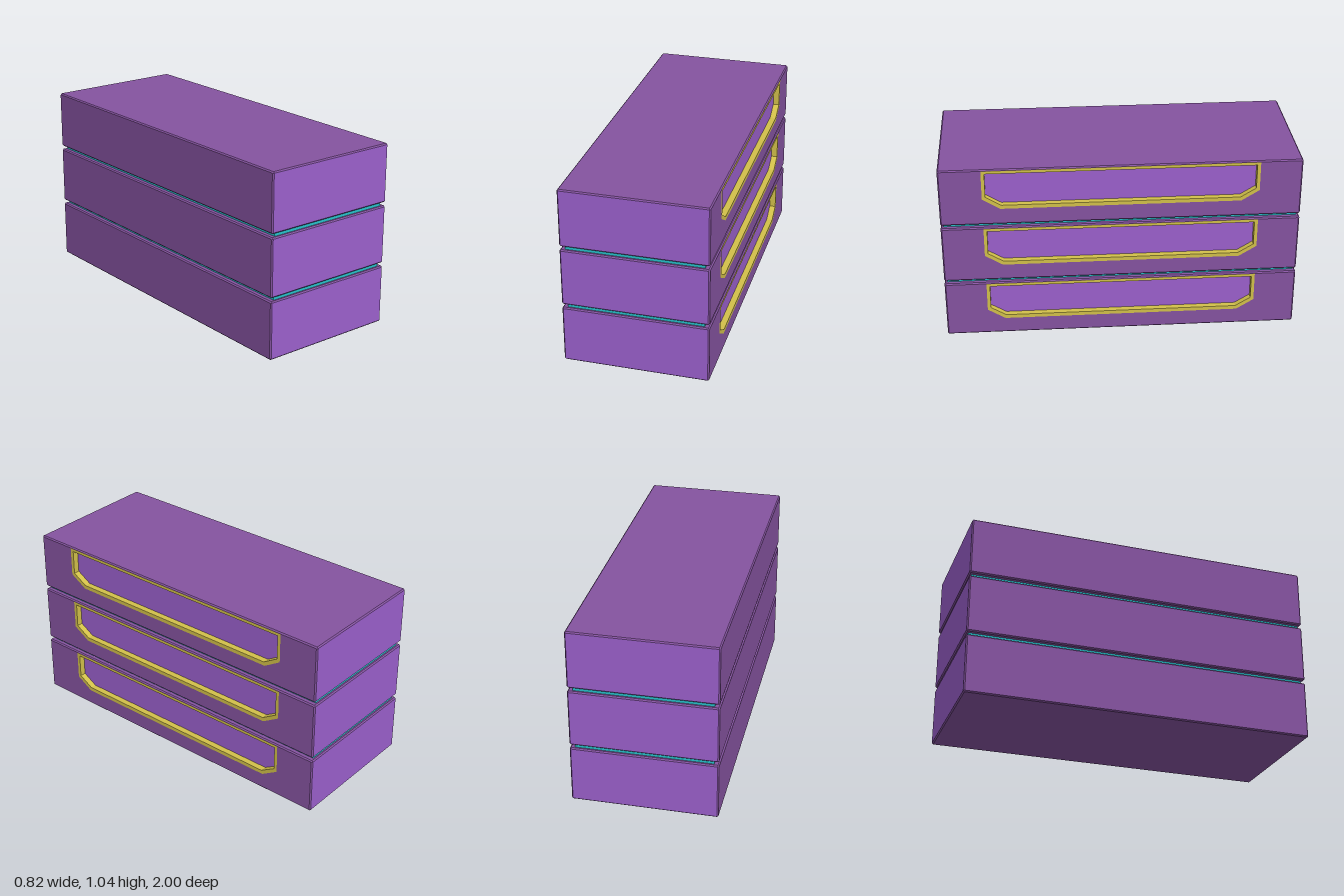
import * as THREE from 'three';

const PITCH = 0.355, H = 0.335, HX = 0.408, C = 0.007, DEPTH = 0.035;

const mat = (color) => new THREE.MeshStandardMaterial({ color, flatShading: true });
const bodyMat = mat(0x8553a0), panelMat = mat(0x9b60cc), frameMat = mat(0xd2c04a), spacerMat = mat(0x28c2cc);

// Shapes are drawn in the side plane and turned to face +x
const toSide = (geo, x) => geo.rotateY(Math.PI / 2).translate(x, 0, 0);
const points = (list) => list.map(([x, y]) => new THREE.Vector2(x, y));

// Symmetric tray outline with sloping lower corners
const tray = (halfW, top, slopeY, slopeW, bottom) => points([
  [-slopeW, bottom], [slopeW, bottom], [halfW, slopeY],
  [halfW, top], [-halfW, top], [-halfW, slopeY],
]);

function withHole(outer, hole) {
  const shape = new THREE.Shape(outer);
  shape.holes.push(new THREE.Path(hole));
  return shape;
}

// Keep only the triangles whose corners pass the test
function filterFaces(geo, keep) {
  const p = geo.attributes.position, out = [], tri = new THREE.Triangle();
  for (let i = 0; i < p.count; i += 3) {
    tri.setFromAttributeAndIndices(p, i, i + 1, i + 2);
    if (keep([tri.a, tri.b, tri.c])) {
      for (const v of [tri.a, tri.b, tri.c]) out.push(v.x, v.y, v.z);
    }
  }
  const g = new THREE.BufferGeometry();
  g.setAttribute('position', new THREE.Float32BufferAttribute(out, 3));
  g.computeVertexNormals();
  return g;
}

function createCase() {
  const group = new THREE.Group();
  const add = (name, geo, material) => {
    const mesh = new THREE.Mesh(geo, material);
    mesh.name = name;
    group.add(mesh);
  };

  // Side outline with tiny cut corners; the bevel chamfers every edge
  const w = 1 - C, lo = C, hi = H - C, k = 0.003;
  const outline = points([
    [-w + k, lo], [w - k, lo], [w, lo + k], [w, hi - k],
    [w - k, hi], [-w + k, hi], [-w, hi - k], [-w, lo + k],
  ]);
  const block = toSide(new THREE.ExtrudeGeometry(new THREE.Shape(outline), {
    depth: 2 * (HX - C), bevelThickness: C, bevelSize: C, bevelSegments: 1,
  }), -(HX - C));
  const isEnd = (t) => t.every((v) => Math.abs(v.z) > 1 - 1e-4);
  const isOpenSide = (t) => t.every((v) => v.x > HX - 1e-4);
  add('caseShell', filterFaces(block, (t) => !isEnd(t) && !isOpenSide(t)), bodyMat);
  add('endPanels', filterFaces(block, isEnd), panelMat);

  // Side wall cut out around the recessed handle
  const outer = tray(0.765, 0.327, 0.156, 0.666, 0.095);
  const inner = tray(0.746, 0.31, 0.169, 0.66, 0.117);
  add('handleSideWall', toSide(new THREE.ShapeGeometry(withHole(outline, outer)), HX), bodyMat);
  add('recessFrame', toSide(new THREE.ExtrudeGeometry(withHole(outer, inner),
    { depth: DEPTH, bevelEnabled: false }), HX - DEPTH), frameMat);
  add('recessPanel', toSide(new THREE.ShapeGeometry(new THREE.Shape(inner)), HX - DEPTH), panelMat);
  return group;
}

export function createModel() {
  const model = new THREE.Group();
  model.name = 'stackedCases';
  for (let i = 0; i < 3; i++) {
    const unit = createCase();
    unit.name = 'case' + (i + 1);
    unit.position.y = i * PITCH;
    model.add(unit);
    if (i === 0) continue;
    // Inset spacer between neighbouring cases
    const gap = PITCH - H;
    const spacer = new THREE.Mesh(new THREE.BoxGeometry(0.76, gap, 1.97), spacerMat);
    spacer.name = 'spacer' + i;
    spacer.position.y = i * PITCH - gap / 2;
    model.add(spacer);
  }
  return model;
}
